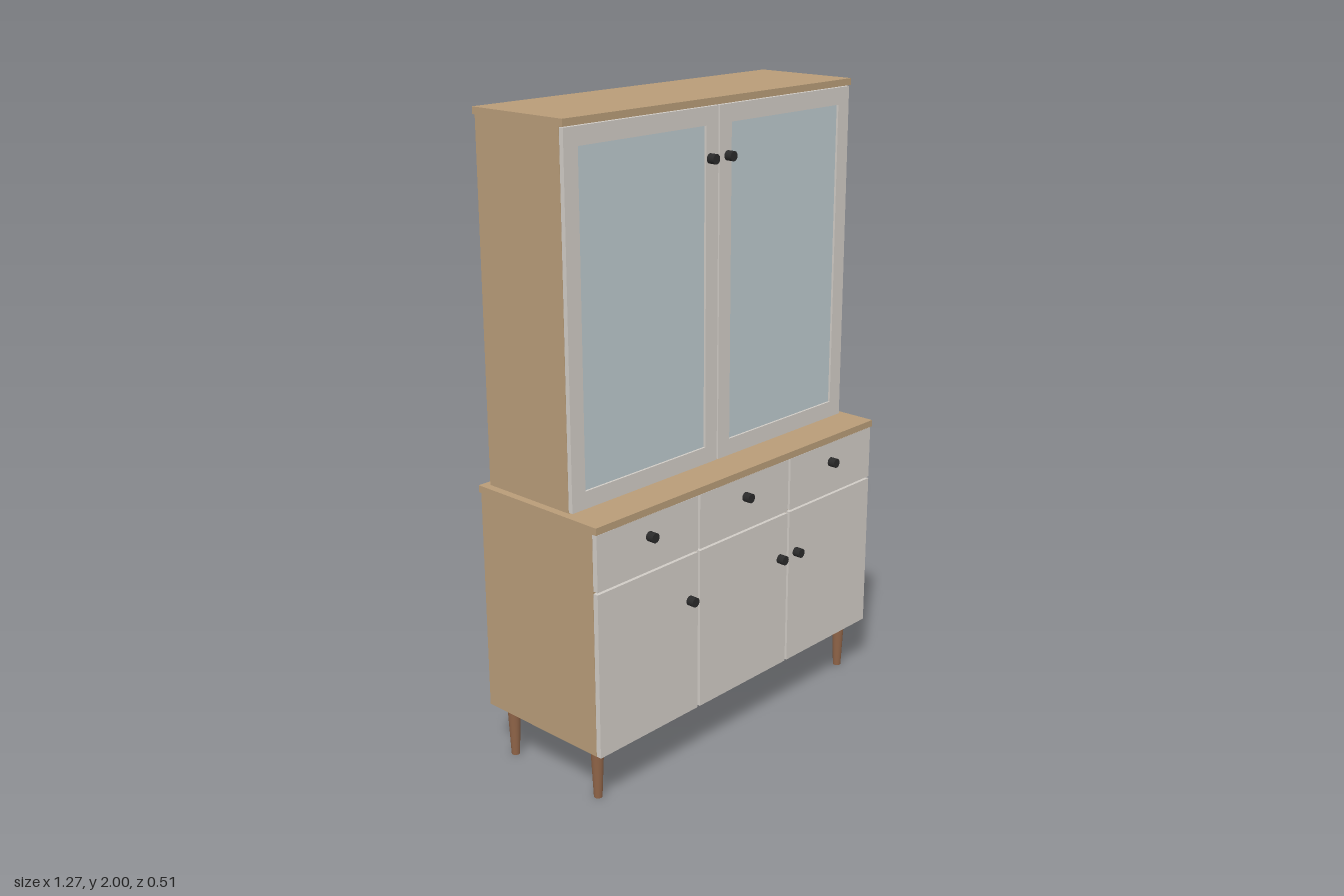
import * as THREE from 'three';

const mat = (color) => new THREE.MeshStandardMaterial({ color });

export function createModel() {
  const model = new THREE.Group();
  model.name = 'displayCabinet';
  const wood = mat(0xb89c78), paint = mat(0xd0cbc5), glass = mat(0xbcc8cc);
  const legWood = mat(0x8f6448), black = mat(0x2a2a2a);

  const add = (name, geometry, material, parent = model) => {
    const mesh = new THREE.Mesh(geometry, material);
    mesh.name = name;
    parent.add(mesh);
    return mesh;
  };

  // box given by its minimum and maximum along each axis
  const box = (name, [x0, x1], [y0, y1], [z0, z1], material, parent) => {
    const mesh = add(name, new THREE.BoxGeometry(x1 - x0, y1 - y0, z1 - z0), material, parent);
    mesh.position.set((x0 + x1) / 2, (y0 + y1) / 2, (z0 + z1) / 2);
    return mesh;
  };

  // open-fronted case made of boards, with a slightly inset back panel
  const carcass = (name, w, [y0, y1], [z0, z1]) => {
    const group = new THREE.Group(), t = 0.018;
    group.name = name;
    for (const s of [-1, 1]) {
      const xs = [s * w, s * (w - t)].sort((a, b) => a - b);
      box('sidePanel', xs, [y0, y1], [z0, z1], wood, group);
    }
    const inner = [-w + t, w - t];
    box('bottomPanel', inner, [y0, y0 + t], [z0, z1], wood, group);
    box('topPanel', inner, [y1 - t, y1], [z0, z1], wood, group);
    box('backPanel', inner, [y0 + t, y1 - t], [z0 + 0.004, z0 + 0.014], wood, group);
    model.add(group);
  };

  const knob = (x, y, z) => {
    const mesh = add('knob', new THREE.CylinderGeometry(0.015, 0.015, 0.026, 20), black);
    mesh.rotation.x = Math.PI / 2;
    mesh.position.set(x, y, z + 0.012);
  };

  // lower cabinet and worktop
  carcass('lowerCarcass', 0.63, [0.175, 0.875], [-0.254, 0.214]);
  box('worktop', [-0.635, 0.635], [0.875, 0.897], [-0.258, 0.235], wood);
  for (const x of [-0.21, 0.21]) {
    box('divider', [x - 0.009, x + 0.009], [0.193, 0.857], [-0.24, 0.213], wood);
  }
  box('drawerRail', [-0.612, 0.612], [0.687, 0.705], [-0.24, 0.212], wood);

  // drawer fronts above doors, in three columns
  const columns = [[-0.63, -0.215], [-0.205, 0.205], [0.215, 0.63]];
  const doorKnobs = [-0.25, 0.17, 0.25];
  columns.forEach((xs, i) => {
    box('drawerFront', xs, [0.7, 0.873], [0.215, 0.232], paint);
    box('lowerDoor', xs, [0.176, 0.693], [0.215, 0.232], paint);
    knob((i - 1) * 0.42, 0.808, 0.232);
    knob(doorKnobs[i], 0.548, 0.232);
  });

  // upper cabinet and its top board
  carcass('upperCarcass', 0.61, [0.897, 1.979], [-0.235, 0.1]);
  box('topBoard', [-0.615, 0.615], [1.979, 2], [-0.239, 0.119], wood);

  // glazed doors: a frame with a hole around a set-back pane
  const rect = (Type, x0, x1, y0, y1) =>
    new Type([[x0, y0], [x1, y0], [x1, y1], [x0, y1]].map((p) => new THREE.Vector2(...p)));
  for (const s of [-1, 1]) {
    const [x0, x1] = s > 0 ? [0.003, 0.61] : [-0.61, -0.003];
    const [h0, h1] = [x0 + 0.052, x1 - 0.052];
    const shape = rect(THREE.Shape, x0, x1, 0.9, 1.976);
    shape.holes.push(rect(THREE.Path, h0, h1, 0.953, 1.923));
    const frame = new THREE.ExtrudeGeometry(shape, { depth: 0.015, bevelEnabled: false });
    add('glazedDoorFrame', frame, paint).position.z = 0.101;
    box('glassPane', [h0, h1], [0.953, 1.923], [0.105, 0.109], glass);
    knob(s * 0.038, 1.828, 0.116);
  }

  // tapered legs
  for (const x of [-0.579, 0.579]) {
    for (const z of [-0.204, 0.164]) {
      add('leg', new THREE.CylinderGeometry(0.021, 0.013, 0.175, 20), legWood)
        .position.set(x, 0.0875, z);
    }
  }
  return model;
}
